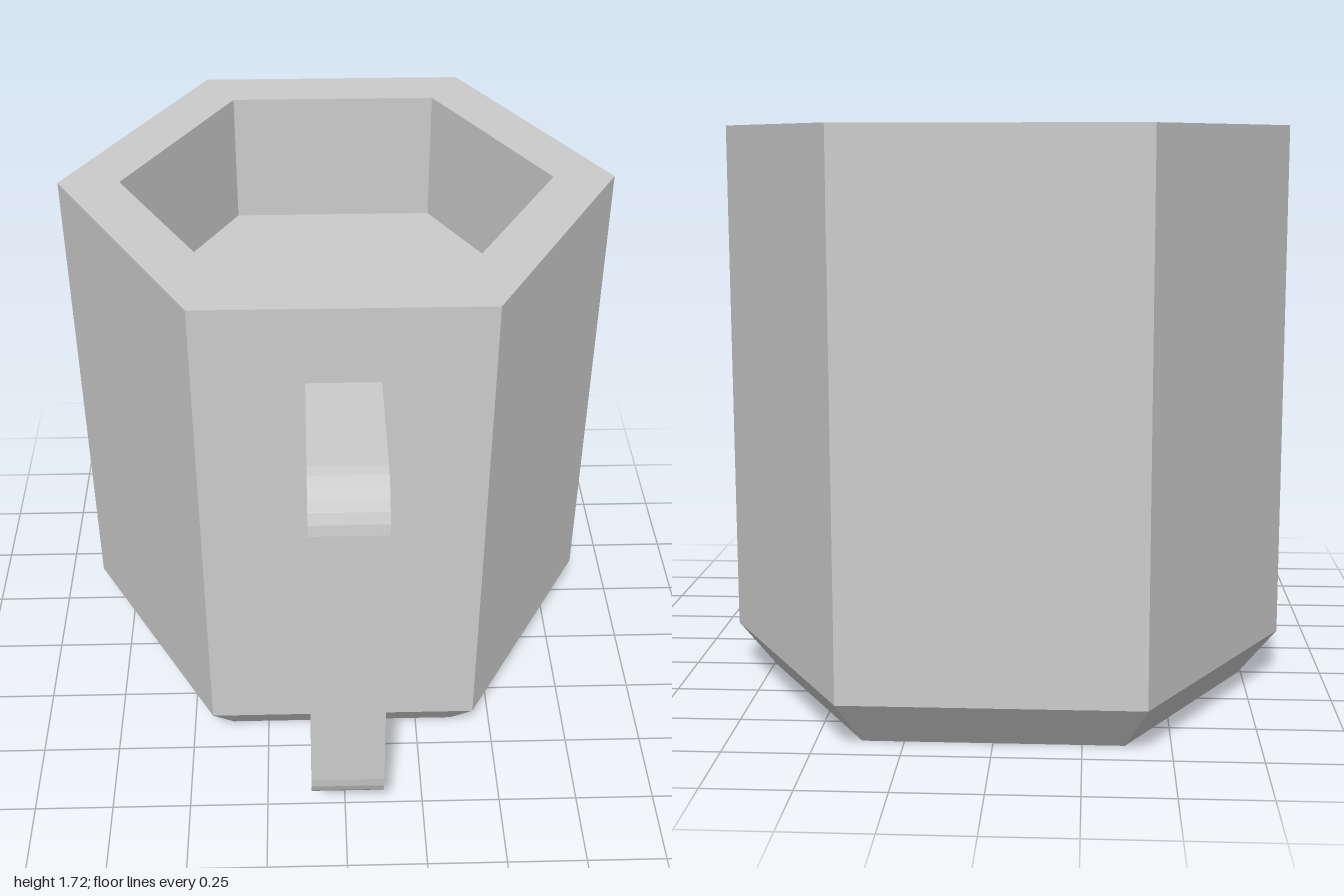
import * as THREE from 'three';

export function createModel() {
  const group = new THREE.Group();
  group.name = 'mug';
  const material = new THREE.MeshStandardMaterial({ color: 0xcccccc, flatShading: true });

  // Six-sided cup: underside, chamfer, outer wall, rim, inner wall, floor
  const profile = [
    [0, 0], [0.74, 0], [0.86, 0.14], [0.86, 1.72], [0.67, 1.72], [0.67, 1.28], [0, 1.28],
  ].map(([r, y]) => new THREE.Vector2(r, y));
  const cup = new THREE.Mesh(new THREE.LatheGeometry(profile, 6, Math.PI / 2), material);
  cup.name = 'cup';
  cup.position.z = -0.255;
  group.add(cup);

  // Handle: square-section bracket with faceted outer corners, drawn as (z, y)
  const root = 0.485, inner = 0.87, r = 0.13, low = 0.4, high = 1.345, width = 0.216;
  const side = new THREE.Shape();
  side.moveTo(root, low - r);
  side.lineTo(inner, low - r);
  side.absarc(inner, low, r, -Math.PI / 2, 0, false);
  side.lineTo(inner + r, high);
  side.absarc(inner, high, r, 0, Math.PI / 2, false);
  side.lineTo(root, high + r);
  side.lineTo(root, high);
  side.lineTo(inner, high);
  side.lineTo(inner, low);
  side.lineTo(root, low);
  side.closePath();
  const bar = new THREE.ExtrudeGeometry(side, { depth: width, bevelEnabled: false, curveSegments: 3 });
  bar.translate(0, 0, -width / 2).rotateY(-Math.PI / 2);
  const handle = new THREE.Mesh(bar, material);
  handle.name = 'handle';
  group.add(handle);

  return group;
}
